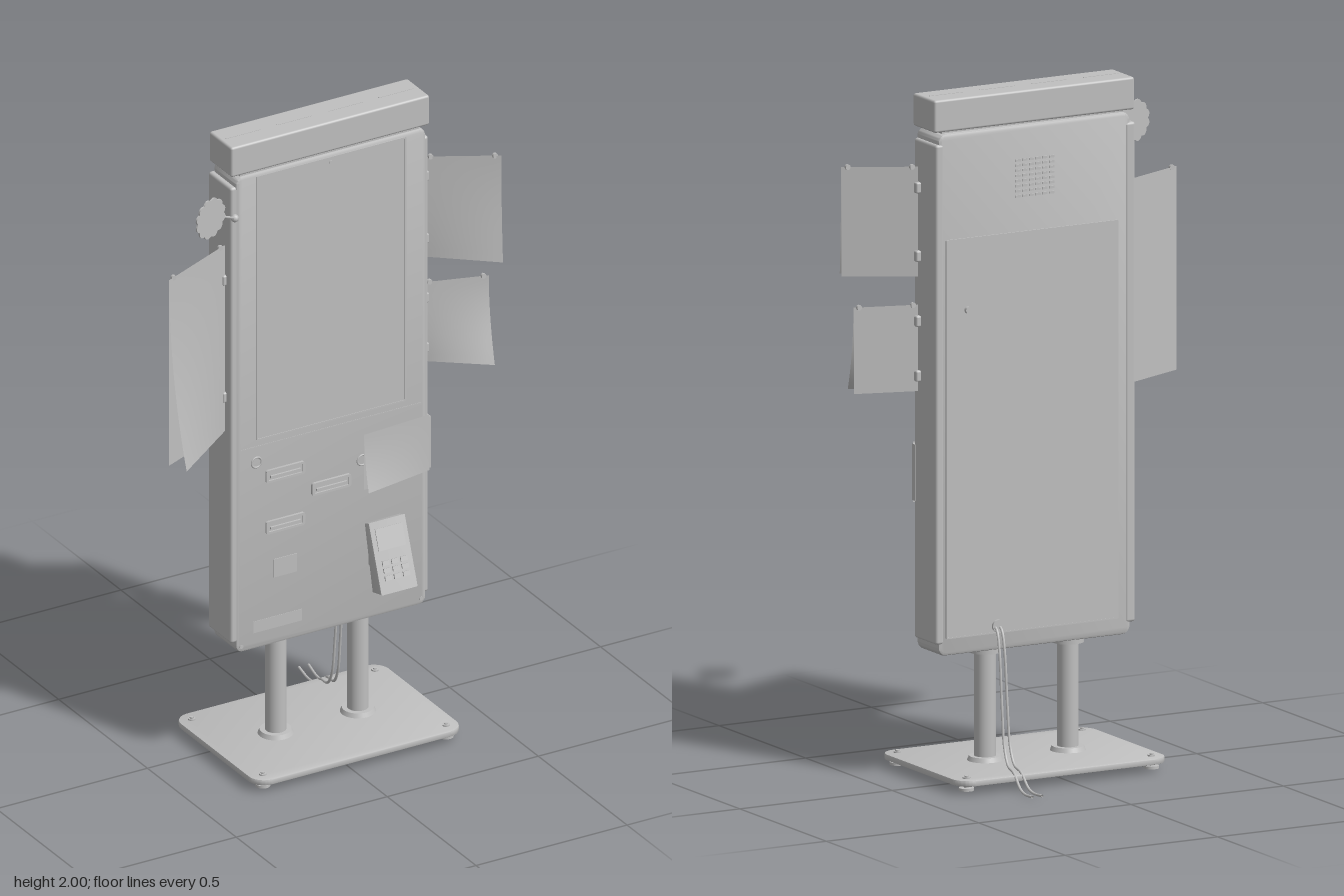
import * as THREE from 'three';
import { toCreasedNormals } from 'three/addons/utils/BufferGeometryUtils.js';
import { RoundedBoxGeometry } from 'three/addons/geometries/RoundedBoxGeometry.js';

const grey = new THREE.MeshStandardMaterial({ color: 0xbfbfbf, side: THREE.DoubleSide });
grey.name = 'grey';

function add(parent, name, geometry, x = 0, y = 0, z = 0) {
  const mesh = new THREE.Mesh(geometry, grey);
  mesh.name = name;
  mesh.position.set(x, y, z);
  parent.add(mesh);
  return mesh;
}

// Box given by its limits on each axis, with optional rounded edges
function block(parent, name, x0, x1, y0, y1, z0, z1, r = 0) {
  const size = [x1 - x0, y1 - y0, z1 - z0];
  const geo = r ? new RoundedBoxGeometry(...size, 2, r) : new THREE.BoxGeometry(...size);
  return add(parent, name, geo, (x0 + x1) / 2, (y0 + y1) / 2, (z0 + z1) / 2);
}

function roundedRect(path, x0, x1, y0, y1, r) {
  path.moveTo(x0 + r, y0);
  path.lineTo(x1 - r, y0);
  path.absarc(x1 - r, y0 + r, r, -Math.PI / 2, 0);
  path.lineTo(x1, y1 - r);
  path.absarc(x1 - r, y1 - r, r, 0, Math.PI / 2);
  path.lineTo(x0 + r, y1);
  path.absarc(x0 + r, y1 - r, r, Math.PI / 2, Math.PI);
  path.lineTo(x0, y0 + r);
  path.absarc(x0 + r, y0 + r, r, Math.PI, Math.PI * 1.5);
  return path;
}

// Rounded plate facing z, with bevelled rims
function plate(shape, depth, bevel) {
  const geo = new THREE.ExtrudeGeometry(shape, {
    depth: depth - 2 * bevel, bevelEnabled: bevel > 0, bevelThickness: bevel,
    bevelSize: bevel, bevelOffset: -bevel, bevelSegments: 2, curveSegments: 8,
  });
  geo.translate(0, 0, bevel);
  return toCreasedNormals(geo, 0.5);
}

// Thin rectangular ring
function frame(parent, name, x0, x1, y0, y1, z, t, depth) {
  const shape = roundedRect(new THREE.Shape(), x0, x1, y0, y1, t);
  shape.holes.push(roundedRect(new THREE.Path(), x0 + t, x1 - t, y0 + t, y1 - t, t * 0.5));
  add(parent, name, plate(shape, depth, 0), 0, 0, z);
}

const disc = (r, h, n = 24) => new THREE.CylinderGeometry(r, r, h, n);
const faceDisc = (r, h, n = 24) => disc(r, h, n).rotateX(Math.PI / 2);

// Side sheet: a flat backing and a page whose lower outer corner curls forward
function flag(parent, name, { x0, x1, top, bottom, z0, zTop, zBot, pull, hinges }) {
  const group = new THREE.Group();
  group.name = name;
  parent.add(group);
  for (const curl of [0, 1]) {
    const geo = new THREE.PlaneGeometry(1, 1, 10, 12);
    const p = geo.attributes.position;
    for (let i = 0; i < p.count; i++) {
      const u = p.getX(i) + 0.5, v = 0.5 - p.getY(i), bend = curl * u * v * v;
      p.setXYZ(i,
        x0 + (x1 - x0) * u - Math.sign(x1 - x0) * pull * bend,
        top + (bottom - top) * v,
        z0 + (zTop - z0) * u + (zBot - zTop) * bend + curl * 0.002);
    }
    geo.computeVertexNormals();
    add(group, curl ? 'curledPage' : 'backingSheet', geo);
  }
  if (!hinges.length) return;
  for (const u of [0.08, 0.92])
    add(group, 'topClip', faceDisc(0.008, 0.008, 10), x0 + (x1 - x0) * u, top, z0 + (zTop - z0) * u);
  for (const y of hinges)
    add(group, 'hinge', new RoundedBoxGeometry(0.022, 0.032, 0.022, 2, 0.005), x0, y, z0);
}

export function createModel() {
  const model = new THREE.Group();
  model.name = 'kiosk';

  // Cabinet: core, side walls and header
  add(model, 'cabinet', plate(roundedRect(new THREE.Shape(), -0.288, 0.343, 0.375, 1.9, 0.025), 0.13, 0.01), 0, 0, 0.008);
  block(model, 'sideWall', -0.303, -0.27, 0.41, 1.87, 0.006, 0.135, 0.008);
  block(model, 'sideWall', 0.325, 0.352, 0.41, 1.87, 0.006, 0.135, 0.008);
  block(model, 'neck', -0.27, 0.325, 1.88, 1.915, 0.02, 0.13);
  block(model, 'header', -0.302, 0.355, 1.905, 2, 0.01, 0.136, 0.007);
  for (const x of [-0.228, -0.058, 0.112, 0.278])
    block(model, 'headerSlot', x - 0.057, x + 0.057, 1.998, 2.001, 0.073, 0.077);

  // Screen with its border, and the lower panel seam
  frame(model, 'screenBorder', -0.222, 0.275, 1.043, 1.89, 0.137, 0.005, 0.004);
  block(model, 'screen', -0.217, 0.27, 1.048, 1.885, 0.136, 0.139);
  block(model, 'panelSeam', -0.27, 0.325, 1.022, 1.025, 0.136, 0.139);
  add(model, 'camera', faceDisc(0.005, 0.006, 12), 0.025, 1.873, 0.139);

  // Card, coin and receipt slots
  for (const [x, y] of [[-0.127, 0.92], [0.025, 0.84], [-0.127, 0.756]]) {
    frame(model, 'slotFrame', x - 0.064, x + 0.064, y - 0.02, y + 0.02, 0.136, 0.007, 0.01);
    block(model, 'slotFace', x - 0.06, x + 0.06, y - 0.016, y + 0.016, 0.136, 0.141);
    block(model, 'slotLip', x - 0.05, x + 0.05, y - 0.006, y + 0.001, 0.136, 0.147);
  }
  for (const [x, y] of [[-0.22, 0.973], [0.13, 0.89]])
    add(model, 'sensor', new THREE.TorusGeometry(0.016, 0.003, 6, 20), x, y, 0.138);
  block(model, 'smallCover', -0.165, -0.087, 0.59, 0.648, 0.136, 0.14);
  block(model, 'lowerFlap', -0.23, -0.07, 0.428, 0.465, 0.136, 0.139);
  for (const x of [-0.27, 0.325]) add(model, 'screw', faceDisc(0.006, 0.004, 10), x, 0.395, 0.138);

  // Payment terminal, a tilted wedge with screen and keys
  const side = new THREE.Shape([[0.17, 0.7], [0.145, 0.69], [0.19, 0.487], [0.243, 0.5]]
    .map(([z, y]) => new THREE.Vector2(-z, y)));
  const wedge = plate(side, 0.122, 0.005);
  wedge.rotateY(Math.PI / 2);
  const terminal = new THREE.Group();
  terminal.name = 'terminal';
  model.add(terminal);
  add(terminal, 'terminalBody', wedge, 0.132, 0, 0);
  block(terminal, 'terminalMount', 0.15, 0.237, 0.55, 0.67, 0.13, 0.18);
  const face = new THREE.Group();
  face.name = 'terminalFace';
  face.position.set(0.193, 0.6, 0.207);
  face.rotation.x = -Math.atan2(0.073, 0.2);
  terminal.add(face);
  block(face, 'terminalScreen', -0.045, 0.045, 0.02, 0.085, -0.003, 0.002);
  for (let row = 0; row < 3; row++)
    for (let col = -1; col <= 1; col++)
      block(face, 'key', col * 0.03 - 0.011, col * 0.03 + 0.011, -0.024 - row * 0.022, -0.01 - row * 0.022, -0.003, 0.004);

  // Side sheets and the front card
  flag(model, 'rightFlag', { x0: -0.303, x1: -0.552, top: 1.675, bottom: 1.08, z0: 0.1, zTop: 0.21, zBot: 0.265, pull: 0.025, hinges: [1.565, 1.19] });
  flag(model, 'leftUpperFlag', { x0: 0.355, x1: 0.547, top: 1.79, bottom: 1.47, z0: 0.105, zTop: 0.21, zBot: 0.25, pull: 0.018, hinges: [1.73, 1.53] });
  flag(model, 'leftLowerFlag', { x0: 0.355, x1: 0.535, top: 1.387, bottom: 1.135, z0: 0.105, zTop: 0.16, zBot: 0.228, pull: 0.02, hinges: [1.34, 1.18] });
  flag(model, 'frontCard', { x0: 0.35, x1: 0.126, top: 0.98, bottom: 0.803, z0: 0.141, zTop: 0.156, zBot: 0.18, pull: 0, hinges: [] });
  block(model, 'cardHinge', 0.343, 0.354, 0.81, 0.975, 0.125, 0.143);

  // Scalloped badge on a thin arm
  const rim = [];
  for (let i = 0; i < 72; i++) {
    const a = (i / 72) * Math.PI * 2, r = 0.056 + 0.007 * Math.abs(Math.sin(a * 6));
    rim.push(new THREE.Vector2(Math.cos(a) * r, Math.sin(a) * r));
  }
  add(model, 'badge', plate(new THREE.Shape(rim), 0.005, 0), -0.405, 1.827, 0.19).rotation.y = 0.32;
  const arm = new THREE.LineCurve3(new THREE.Vector3(-0.35, 1.81, 0.173), new THREE.Vector3(-0.292, 1.775, 0.138));
  add(model, 'badgeArm', new THREE.TubeGeometry(arm, 1, 0.004, 8));
  add(model, 'badgeJoint', new THREE.SphereGeometry(0.012, 12, 8), -0.292, 1.775, 0.138);

  // Rear door, vent and lock
  frame(model, 'doorRim', -0.245, 0.32, 0.425, 1.59, 0.004, 0.004, 0.005);
  block(model, 'rearDoor', -0.241, 0.316, 0.429, 1.586, 0.005, 0.01);
  for (let i = 0; i < 6; i++)
    for (let j = 0; j < 8; j++)
      block(model, 'ventSlot', -0.035 + i * 0.022, -0.019 + i * 0.022, 1.69 + j * 0.015, 1.697 + j * 0.015, 0.005, 0.009);
  add(model, 'lock', faceDisc(0.01, 0.012, 16), 0.25, 1.38, 0.001);

  // Legs with flanges
  for (const x of [-0.112, 0.16]) {
    add(model, 'leg', disc(0.031, 0.345, 32), x, 0.21, 0.062);
    add(model, 'topFlange', disc(0.046, 0.014, 32), x, 0.369, 0.062);
    add(model, 'bottomFlange', new THREE.CylinderGeometry(0.046, 0.052, 0.014, 32), x, 0.052, 0.062);
  }

  // Base plate with bolts and levelling feet
  const base = plate(roundedRect(new THREE.Shape(), -0.318, 0.37, -0.31, 0.17, 0.05), 0.018, 0.003);
  base.rotateX(-Math.PI / 2);
  add(model, 'basePlate', base, 0, 0.028, 0);
  for (const x of [-0.277, 0.33])
    for (const z of [-0.13, 0.27]) {
      add(model, 'boltWasher', disc(0.011, 0.006, 16), x, 0.047, z);
      add(model, 'boltHead', disc(0.006, 0.008, 6), x, 0.05, z);
      add(model, 'footStem', disc(0.007, 0.02, 10), x, 0.024, z);
      add(model, 'foot', disc(0.022, 0.008), x, 0.015, z);
    }

  // Two cables from the rear to the floor
  const drop = [[0.45, 0.012], [0.435, -0.012], [0.38, -0.032], [0.23, -0.052], [0.11, -0.073],
    [0.062, -0.105], [0.05, -0.155], [0.015, -0.21], [0.008, -0.25], [0.013, -0.312]];
  for (const [start, end] of [[0.145, 0.185], [0.16, 0.217]]) {
    const points = drop.map(([y, z]) => new THREE.Vector3(start + (end - start) * Math.max(0, -z / 0.312), y, z));
    add(model, 'cable', new THREE.TubeGeometry(new THREE.CatmullRomCurve3(points), 60, 0.004, 8));
  }
  add(model, 'cableGland', faceDisc(0.018, 0.01, 16), 0.152, 0.447, 0.003);

  return model;
}
